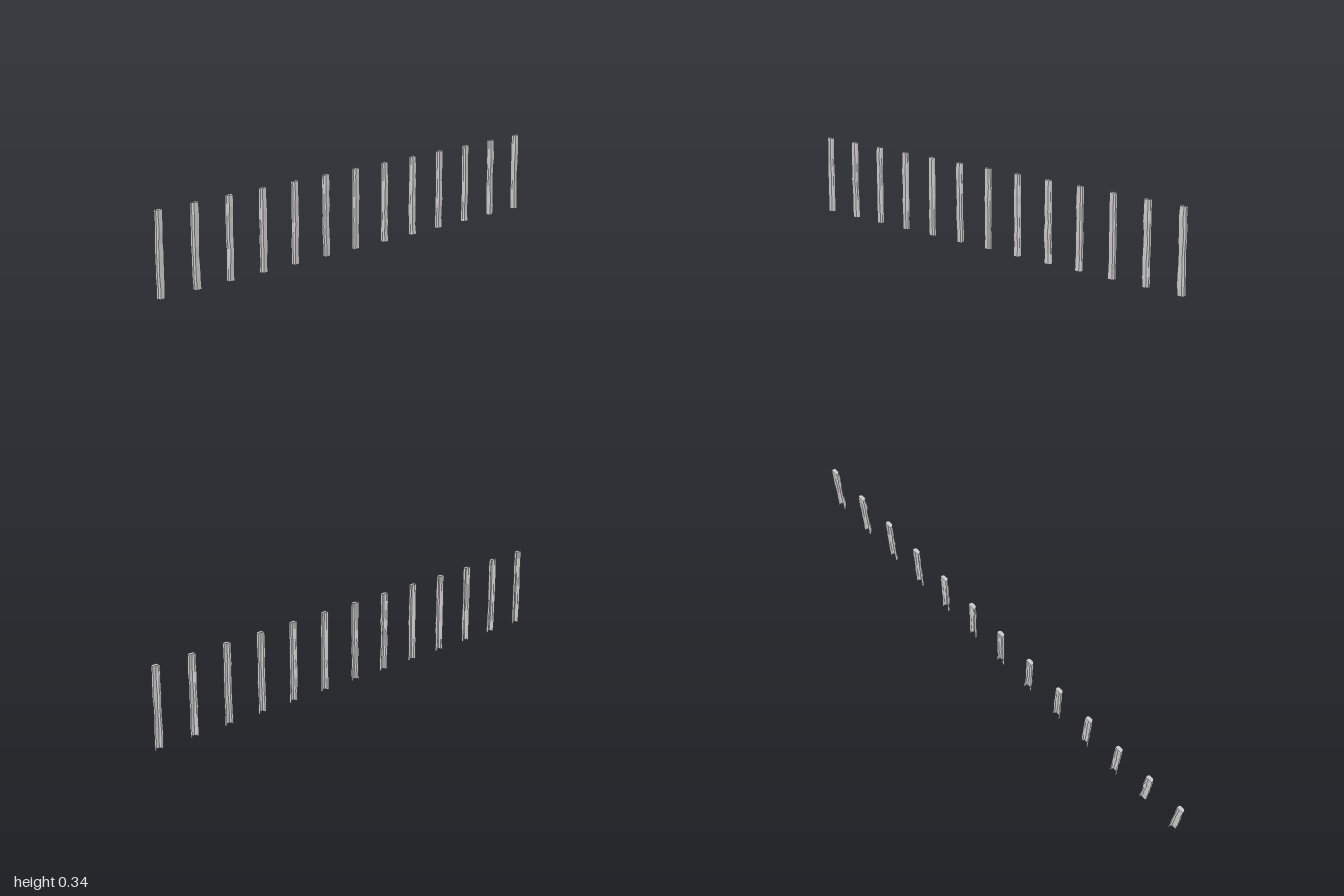
import * as THREE from 'three';

const COUNT = 13, SPACING = 0.1636, HEIGHT = 0.335, LEVELS = 9;

// Open-backed cross-section (x, z), from left back edge round the front to the right
const SECTION = [
  [-0.0155, -0.01], [-0.0155, 0.001], [-0.01, 0.007],
  [0.01, 0.007], [0.0155, 0.001], [0.0155, -0.01],
];
// Sideways lean of each slat's foot
const LEAN = [0, 0.004, 0, 0, 0.001, 0.005, 0, 0.002, 0.004, 0, 0, 0, 0];

function seeded(seed) {
  let s = seed * 7919 + 17;
  return () => ((s = (s * 16807) % 2147483647) / 2147483647) * 2 - 1;
}

// Thin hollow slat: wobbly shell, closed top, open back and bottom
function slatGeometry(index) {
  const rand = seeded(index + 1);
  for (let i = 0; i < 5; i++) rand();
  const n = SECTION.length, pos = [], idx = [];
  for (let j = 0; j < LEVELS; j++) {
    const t = j / (LEVELS - 1);
    const fade = j === LEVELS - 1 ? 0 : 1;
    const shift = LEAN[index] * Math.max(0, 1 - t * 3);
    const left = rand() * 0.0018 * fade, right = rand() * 0.0018 * fade;
    const bulge = (0.0015 + rand() * 0.002) * fade;
    for (const [x, z] of SECTION) {
      const px = x + shift + (x < 0 ? left : right);
      const edge = SPACING * (COUNT - 1) / 2;
      const cx = (index - (COUNT - 1) / 2) * SPACING;
      pos.push(THREE.MathUtils.clamp(cx + px, -edge - 0.0184, edge + 0.0184),
        t * HEIGHT, z > 0.005 ? z + bulge : z);
    }
  }
  for (let j = 0; j < LEVELS - 1; j++) {
    for (let i = 0; i < n - 1; i++) {
      const a = j * n + i, b = a + 1, c = a + n, d = c + 1;
      idx.push(a, b, d, a, d, c);
    }
  }
  // Top cap
  const top = (LEVELS - 1) * n;
  for (let i = 1; i < n - 1; i++) idx.push(top, top + i, top + i + 1);
  const g = new THREE.BufferGeometry();
  g.setAttribute('position', new THREE.Float32BufferAttribute(pos, 3));
  g.setIndex(idx);
  g.computeVertexNormals();
  return g;
}

export function createModel() {
  const group = new THREE.Group();
  group.name = 'slatRow';
  const material = new THREE.MeshStandardMaterial({
    color: 0xcccccc, flatShading: true, side: THREE.DoubleSide,
  });
  for (let i = 0; i < COUNT; i++) {
    const slat = new THREE.Mesh(slatGeometry(i), material);
    slat.name = `slat${i + 1}`;
    group.add(slat);
  }
  return group;
}
